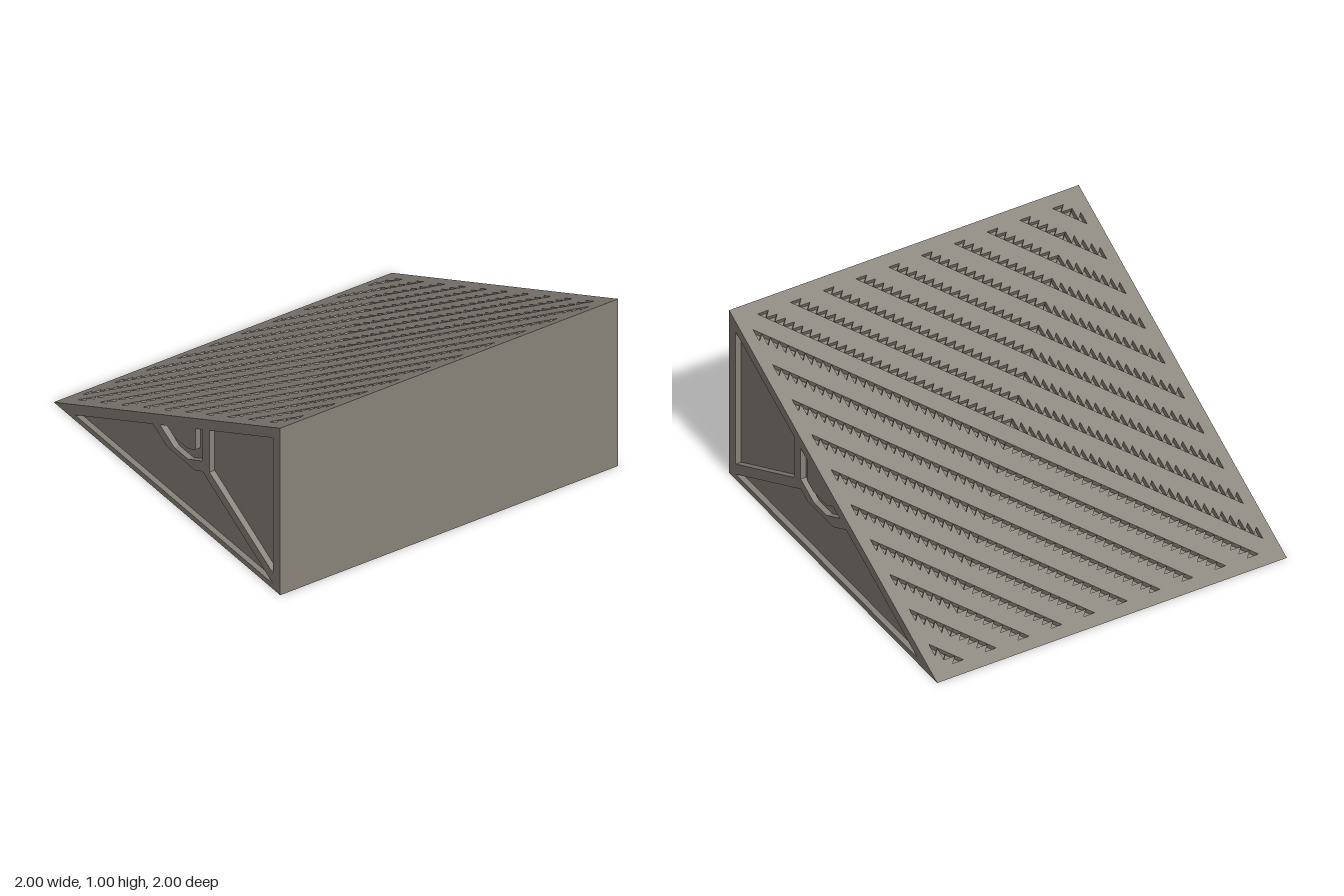
import * as THREE from 'three';

const DEPTH = 1 / 32;   // depth of every recess
const STEP = 1 / 32;    // tooth size on the ramp
const EDGE = 15 / 16;   // tread area half width

const vec = (x, y) => new THREE.Vector2(x, y);

// Vertical sides of a recess, facing into the hole
function wallGeometry(outline) {
  const pts = THREE.ShapeUtils.isClockWise(outline) ? [...outline].reverse() : outline;
  const pos = [];
  pts.forEach((p, i) => {
    const q = pts[(i + 1) % pts.length];
    pos.push(p.x, p.y, 0, q.x, q.y, 0, p.x, p.y, -DEPTH);
    pos.push(q.x, q.y, 0, q.x, q.y, -DEPTH, p.x, p.y, -DEPTH);
  });
  const g = new THREE.BufferGeometry();
  g.setAttribute('position', new THREE.Float32BufferAttribute(pos, 3));
  g.computeVertexNormals();
  return g;
}

// Flat face with recessed areas, placed by its u and v axes and origin
function recessedFace(name, outline, holes, u, v, origin, material) {
  const group = new THREE.Group();
  group.name = name;
  const add = (part, geometry, z = 0) => {
    const mesh = new THREE.Mesh(geometry, material);
    mesh.name = part;
    mesh.position.z = z;
    group.add(mesh);
  };
  const shape = new THREE.Shape(outline);
  shape.holes = holes.map((h) => new THREE.Path(h));
  add('surface', new THREE.ShapeGeometry(shape));
  for (const h of holes) {
    add('recessFloor', new THREE.ShapeGeometry(new THREE.Shape(h)), -DEPTH);
    add('recessWalls', wallGeometry(h));
  }
  const n = new THREE.Vector3().crossVectors(u, v);
  group.quaternion.setFromRotationMatrix(new THREE.Matrix4().makeBasis(u, v, n));
  group.position.copy(origin);
  return group;
}

// Sawtooth groove beside the line z = x + s, as [x, z] points
function toothedGroove(s) {
  const x0 = -EDGE, count = Math.round((2 * EDGE - s) / STEP), gap = 0.0015;
  const pts = [[x0 + count * STEP, EDGE], [x0, x0 + s]];
  for (let i = 0; i < count; i++) {
    const x = x0 + i * STEP, z = x + s;
    // the teeth turn round halfway along
    if (i < count / 2) pts.push([x, z + 2 * STEP]);
    else pts.push([x - STEP, z + STEP]);
    if (i < count - 1) pts.push([x + STEP - gap, z + STEP + gap]);
  }
  return pts;
}

export function createModel() {
  const model = new THREE.Group();
  model.name = 'rampBlock';
  const stone = new THREE.MeshStandardMaterial({ color: 0x88837a });
  stone.name = 'warmGrey';

  const X = new THREE.Vector3(1, 0, 0);
  const Y = new THREE.Vector3(0, 1, 0);
  const Z = new THREE.Vector3(0, 0, 1);

  // Plain front and base
  model.add(recessedFace('front', [vec(-1, 0), vec(1, 0), vec(1, 1), vec(-1, 1)], [], X, Y, Z, stone));
  model.add(recessedFace('base', [vec(-1, -1), vec(1, -1), vec(1, 1), vec(-1, 1)], [], X, Z, new THREE.Vector3(), stone));

  // Triangular sides with three recesses each, as [z, y]
  const triangle = [[1, 0], [1, 1], [-1, 0]];
  const panels = [
    [[0.9375, 0.906], [0.375, 0.625], [0.375, 0.375], [0.9375, 0.094]],
    [[0.9375, 0.031], [0.3125, 0.344], [0.25, 0.3125], [0, 0.3125], [-0.125, 0.375], [-0.8125, 0.031]],
    [[0.3125, 0.594], [0.25, 0.5625], [0.25, 0.4375], [0.1875, 0.406], [0.0625, 0.406],
      [0, 0.4375], [-0.0625, 0.406], [0.0625, 0.344], [0.1875, 0.344], [0.3125, 0.406]],
  ];
  for (const side of [1, -1]) {
    const flat = (list) => list.map(([z, y]) => vec(-side * z, y));
    model.add(recessedFace(side > 0 ? 'leftSide' : 'rightSide', flat(triangle), panels.map(flat),
      Z.clone().multiplyScalar(-side), Y, X.clone().multiplyScalar(side), stone));
  }

  // Sloping ramp with diagonal grooves mirrored about its diagonal
  const stretch = Math.sqrt(5) / 2;
  const onRamp = ([x, z]) => vec(-x, z * stretch);
  const grooves = [];
  for (let k = 0; k < 10; k++) {
    const groove = toothedGroove(0.0625 + 0.1875 * k);
    grooves.push(groove.map(onRamp), groove.map(([x, z]) => onRamp([z, x])));
  }
  model.add(recessedFace('ramp', [[-1, -1], [1, -1], [1, 1], [-1, 1]].map(onRamp), grooves,
    X.clone().negate(), new THREE.Vector3(0, 1, 2).normalize(), new THREE.Vector3(0, 0.5, 0), stone));

  return model;
}
